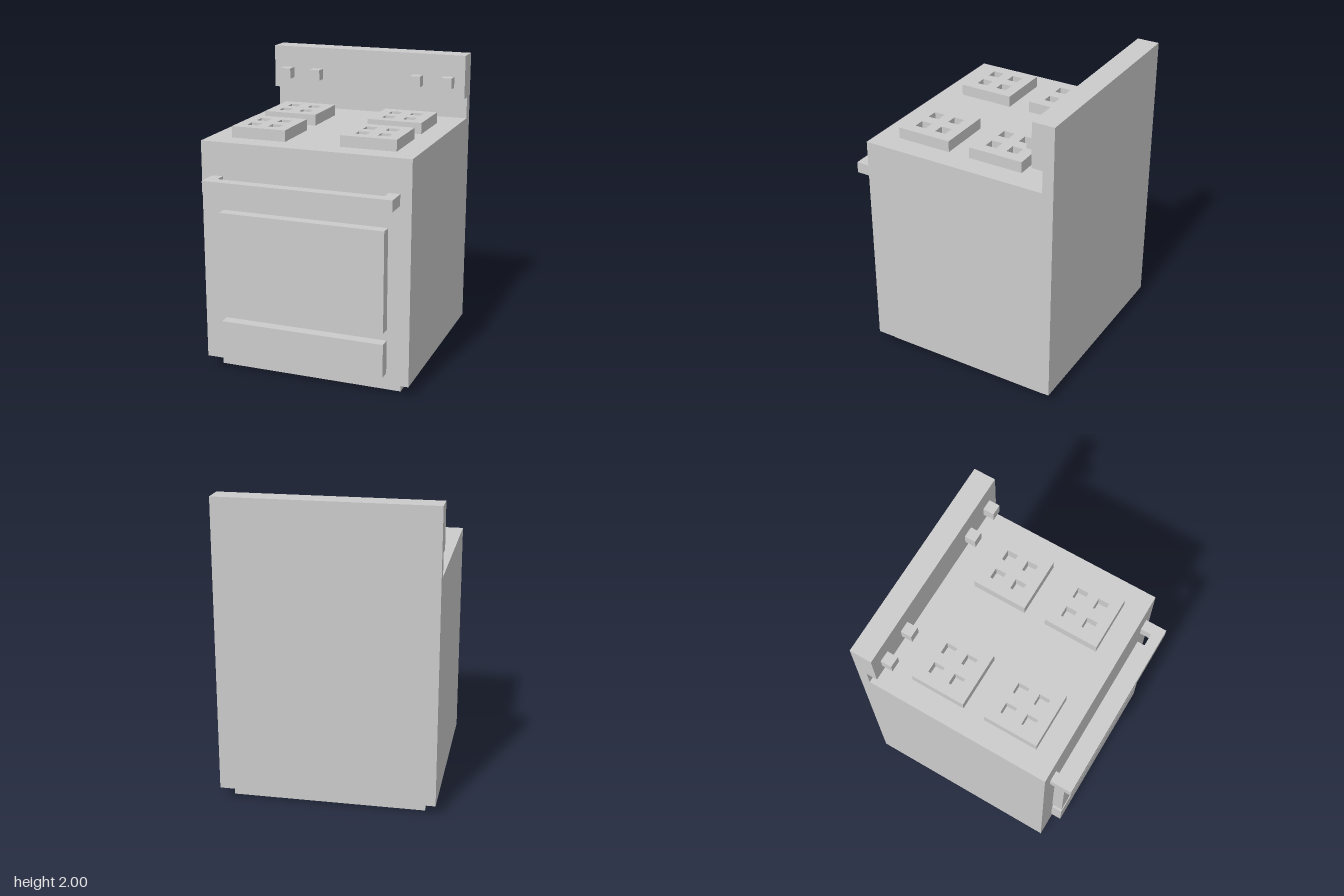
import * as THREE from 'three';

const U = 2 / 27; // grid module: the cooker is 27 modules tall
const material = new THREE.MeshStandardMaterial({ color: 0xcccccc, flatShading: true });

export function createModel() {
  const model = new THREE.Group();
  model.name = 'cooker';

  const add = (name, geometry) => {
    const mesh = new THREE.Mesh(geometry, material);
    mesh.name = name;
    model.add(mesh);
    return mesh;
  };

  // Box given by its extents in modules
  const box = (name, x0, x1, y0, y1, z0, z1) => {
    const mesh = add(name, new THREE.BoxGeometry((x1 - x0) * U, (y1 - y0) * U, (z1 - z0) * U));
    mesh.position.set((x0 + x1) / 2 * U, (y0 + y1) / 2 * U, (z0 + z1) / 2 * U);
    return mesh;
  };

  const outline = (points) => points.map(([a, b]) => new THREE.Vector2(a * U, b * U));
  const square = (x, y, s) => outline([[x, y], [x + s, y], [x + s, y + s], [x, y + s]]);

  // Body and backsplash: one side profile (z, y) swept across the width
  const profile = new THREE.Shape(outline([
    [-10, 1], [8, 1], [8, 21], [-9, 21], [-9, 23], [-8, 23], [-8, 27], [-10, 27],
  ]));
  const body = new THREE.ExtrudeGeometry(profile, { depth: 19 * U, bevelEnabled: false });
  body.translate(0, 0, -9.5 * U).rotateY(-Math.PI / 2);
  // The turn maps shape x to +z and the sweep to -x
  add('bodyAndBacksplash', body);

  // Recessed plinth
  box('plinth', -8.5, 8.5, 0, 1, -9, 7);

  // Front panels
  box('ovenDoor', -7.5, 7.5, 6, 15, 8, 9);
  box('drawer', -7.5, 7.5, 2, 5, 8, 9);

  // Handle: a bar on two end posts
  const grip = new THREE.Shape(outline([
    [-8.5, -8], [-7.5, -8], [-7.5, -9], [7.5, -9], [7.5, -8], [8.5, -8], [8.5, -10], [-8.5, -10],
  ]));
  const handle = new THREE.ExtrudeGeometry(grip, { depth: U, bevelEnabled: false });
  handle.rotateX(-Math.PI / 2).translate(0, 17 * U, 0);
  add('handle', handle);

  // Control knobs
  for (const x of [-8.5, -5.5, 4.5, 7.5]) box('knob', x, x + 1, 24, 25, -8, -7);

  // Burner grates, each with four square openings
  const plate = new THREE.Shape(square(-2.5, -2.5, 5));
  for (const x of [-1.5, 0.5]) {
    for (const y of [-1.5, 0.5]) plate.holes.push(new THREE.Path(square(x, y, 1)));
  }
  const grate = new THREE.ExtrudeGeometry(plate, { depth: U, bevelEnabled: false });
  grate.rotateX(-Math.PI / 2);
  for (const x of [-5, 5]) {
    for (const z of [-3.5, 3.5]) add('burnerGrate', grate).position.set(x * U, 21 * U, z * U);
  }

  return model;
}
